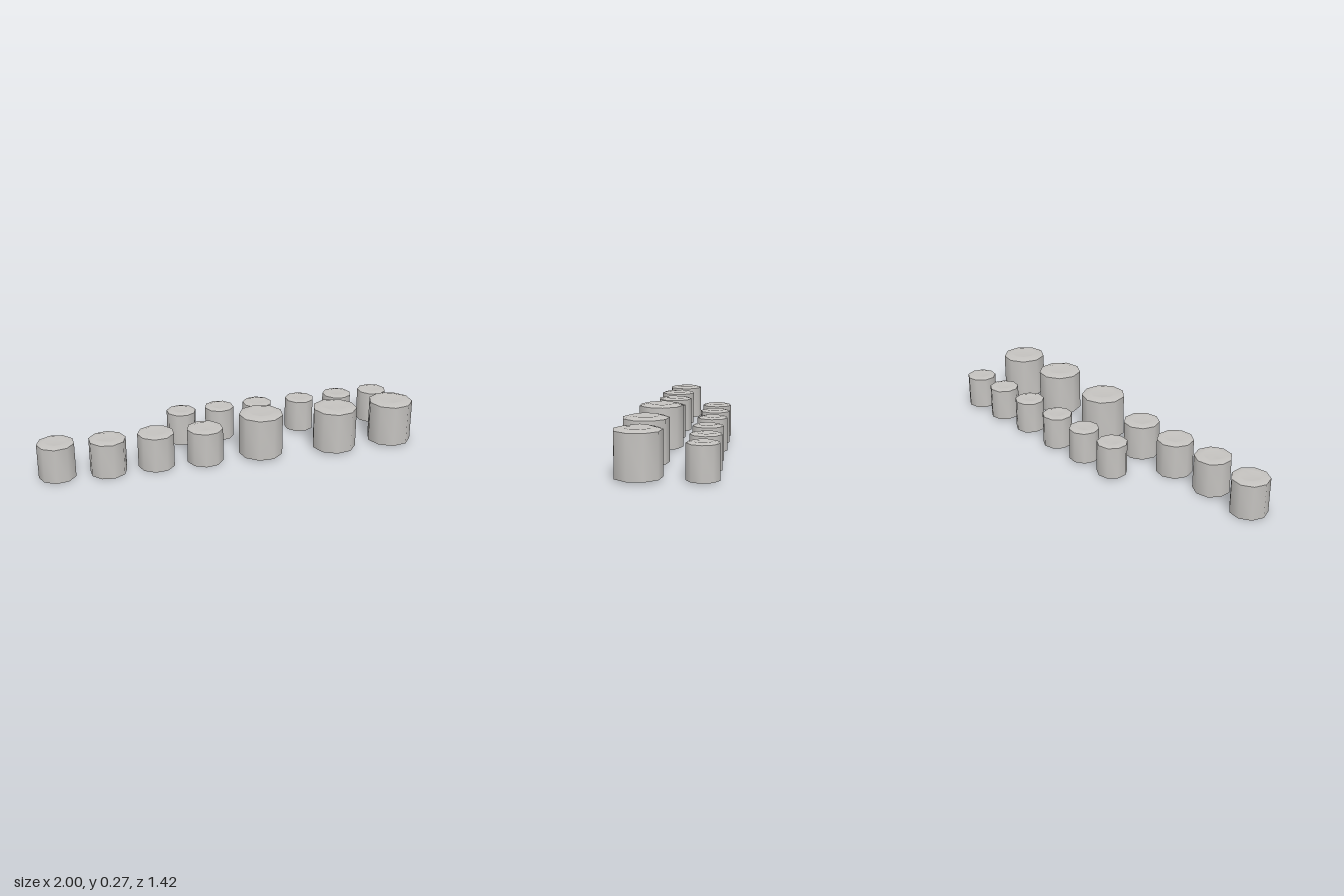
import * as THREE from 'three';
import { toCreasedNormals } from 'three/addons/utils/BufferGeometryUtils.js';

const SIDES = 9;
const stone = new THREE.MeshStandardMaterial({ color: 0xc4c2bf });
stone.name = 'pale grey stone';

// Nine-sided block with a sharp rim and a shallow, slightly worn crown
function blockGeometry(radius, base, rim, top, turn, seed) {
  const profile = [
    [0, base], [radius, base], [radius, rim],
    [radius * 0.62, top], [radius * 0.55, top - 0.001], [0, top - 0.001],
  ].map(([x, y]) => new THREE.Vector2(x, y));
  const phiStart = Math.PI / 2 - THREE.MathUtils.degToRad(turn);
  const geometry = new THREE.LatheGeometry(profile, SIDES, phiStart);

  // Wear the inner crown rings unevenly
  const p = geometry.attributes.position;
  for (let i = 0; i < p.count; i++) {
    const x = p.getX(i), z = p.getZ(i), d = Math.hypot(x, z);
    if (p.getY(i) < rim + 0.001 || d < 0.001) continue;
    const a = Math.atan2(z, x);
    const wear = Math.sin(a * 3 + seed * 2.1) * Math.cos(a * 2 - seed);
    p.setXYZ(i, x * (1 + wear * 0.1), p.getY(i) - Math.abs(wear) * 0.003, z * (1 + wear * 0.1));
  }
  return toCreasedNormals(geometry, 0.75);
}

// Each row: block size, then x, z and turn in degrees
const rows = [
  {
    name: 'smallBlock', radius: 0.088, base: 0.008, rim: 0.198, top: 0.208,
    places: [[-0.35, -0.015, 10], [-0.145, -0.135, -10], [0.065, -0.255, 10],
      [0.305, -0.385, 10], [0.52, -0.515, 10], [0.725, -0.635, 10]],
  },
  {
    name: 'mediumBlock', radius: 0.106, base: 0, rim: 0.203, top: 0.214,
    places: [[-0.895, 0.605, -10], [-0.635, 0.485, 10], [-0.395, 0.34, -5], [-0.14, 0.21, -10]],
  },
  {
    name: 'largeBlock', radius: 0.13, base: 0.01, rim: 0.255, top: 0.269,
    places: [[0.155, 0.045, 0], [0.56, -0.15, -10], [0.87, -0.335, -10]],
  },
];

export function createModel() {
  const model = new THREE.Group();
  model.name = 'blockRows';
  let seed = 1;
  for (const { name, radius, base, rim, top, places } of rows) {
    places.forEach(([x, z, turn], i) => {
      const block = new THREE.Mesh(blockGeometry(radius, base, rim, top, turn, seed++), stone);
      block.name = `${name}${i + 1}`;
      block.position.set(x, 0, z);
      model.add(block);
    });
  }
  return model;
}
